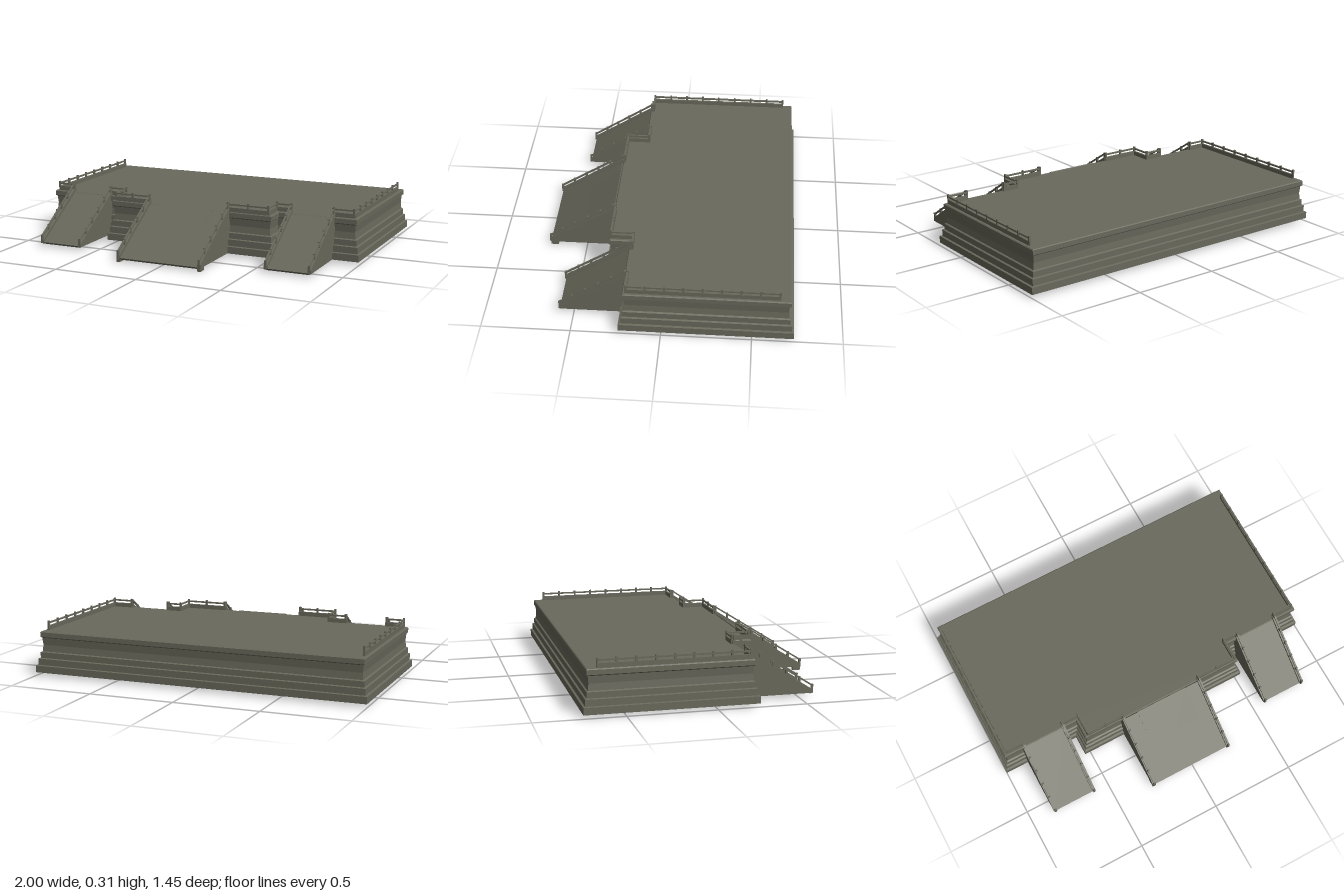
import * as THREE from 'three';

const stone = new THREE.MeshStandardMaterial({ color: 0x69695c, side: THREE.DoubleSide });
stone.name = 'weathered stone';

function add(parent, name, geometry) {
  const mesh = new THREE.Mesh(geometry, stone);
  mesh.name = name;
  parent.add(mesh);
  return mesh;
}

function box(parent, name, w, h, d, x, y, z) {
  add(parent, name, new THREE.BoxGeometry(w, h, d)).position.set(x, y, z);
}

// Square bar running from a to b
function bar(parent, name, a, b, w, h) {
  const from = new THREE.Vector3(...a), to = new THREE.Vector3(...b);
  const mesh = add(parent, name, new THREE.BoxGeometry(w, h, from.distanceTo(to)));
  mesh.position.copy(from).add(to).multiplyScalar(0.5);
  mesh.lookAt(to);
}

// Terrace outline, moved inwards by d
function outline(d) {
  const half = [[1, -0.73 + d], [1, 0.235 - d], [0.535, 0.235 - d], [0.535, 0.355 - d]];
  const left = half.map(([x, z]) => [-(x - d), z]);
  const right = half.map(([x, z]) => [x - d, z]).reverse();
  return [...left, ...right];
}

// Sheet covering the outline at height y
function sheet(d, y) {
  const shape = new THREE.Shape(outline(d).map(([x, z]) => new THREE.Vector2(x, -z)));
  return new THREE.ShapeGeometry(shape).rotateX(-Math.PI / 2).translate(0, y, 0);
}

// Hollow moulded walls: a profile of [inset, height] swept round the outline
function walls() {
  const profile = [
    [0.06, 0.24], [0.06, 0.02], [0, 0.02], [0, 0.06], [0.012, 0.063], [0.012, 0.1],
    [0.022, 0.104], [0.022, 0.137], [0.031, 0.142], [0.035, 0.18], [0.031, 0.222],
    [0.023, 0.228], [0.023, 0.255], [0.028, 0.26],
  ];
  const pos = [];
  for (let k = 0; k < profile.length - 1; k++) {
    const [d0, y0] = profile[k], [d1, y1] = profile[k + 1];
    const lo = outline(d0), hi = outline(d1);
    lo.forEach((p, i) => {
      const j = (i + 1) % lo.length;
      const a = [p[0], y0, p[1]], b = [lo[j][0], y0, lo[j][1]];
      const c = [hi[j][0], y1, hi[j][1]], e = [hi[i][0], y1, hi[i][1]];
      pos.push(...a, ...b, ...c, ...a, ...c, ...e);
    });
  }
  const g = new THREE.BufferGeometry();
  g.setAttribute('position', new THREE.Float32BufferAttribute(pos, 3));
  g.computeVertexNormals();
  return g;
}

// Low kerb, handrail and posts along a path of [x, z] points on the deck
function balustrade(parent, path) {
  const group = new THREE.Group();
  group.name = 'balustrade';
  parent.add(group);
  for (let i = 0; i < path.length - 1; i++) {
    const [x0, z0] = path[i], [x1, z1] = path[i + 1];
    const n = Math.max(1, Math.round(Math.hypot(x1 - x0, z1 - z0) / 0.105));
    bar(group, 'kerb', [x0, 0.272, z0], [x1, 0.272, z1], 0.012, 0.026);
    bar(group, 'handrail', [x0, 0.302, z0], [x1, 0.302, z1], 0.01, 0.009);
    for (let k = 0; k <= n; k++) {
      if (k === 0 && i > 0) continue;
      const t = k / n;
      box(group, 'post', 0.011, 0.055, 0.011, x0 + (x1 - x0) * t, 0.287, z0 + (z1 - z0) * t);
    }
  }
}

// Sloping ramp between x0 and x1, from the deck edge zTop to the foot zFoot
function ramp(parent, name, x0, x1, zTop, zFoot) {
  const group = new THREE.Group();
  group.name = name;
  parent.add(group);
  const mid = (x0 + x1) / 2;
  bar(group, 'rampSurface', [mid, 0.018, zFoot - 0.005], [mid, 0.252, zTop], x1 - x0, 0.012);
  const thick = 0.02;
  const side = new THREE.Shape([
    [zTop - 0.06, 0.02], [zFoot, 0.02], [zFoot, 0.04], [zTop, 0.28],
    [zTop - 0.01, 0.28], [zTop - 0.01, 0.24], [zTop - 0.06, 0.24],
  ].map(p => new THREE.Vector2(...p)));
  for (const x of [x0, x1]) {
    const panel = new THREE.ExtrudeGeometry(side, { depth: thick, bevelEnabled: false });
    add(group, 'sidePanel', panel.rotateY(-Math.PI / 2).translate(x + thick / 2, 0, 0));
    bar(group, 'slopingHandrail', [x, 0.062, zFoot], [x, 0.304, zTop], 0.01, 0.009);
    for (let k = 0; k <= 5; k++) {
      const t = k / 5;
      box(group, 'slopingPost', 0.012, 0.05, 0.012, x, 0.044 + 0.242 * t, zFoot + (zTop - zFoot) * t);
    }
  }
  return group;
}

export function createModel() {
  const model = new THREE.Group();
  model.name = 'terrace';

  add(model, 'mouldedWalls', walls());
  add(model, 'deck', sheet(0.028, 0.26));
  add(model, 'ceiling', sheet(0.06, 0.24));

  // Three ramps
  ramp(model, 'leftRamp', 0.58, 0.835, 0.205, 0.58);
  ramp(model, 'rightRamp', -0.85, -0.595, 0.205, 0.58);
  const centre = ramp(model, 'centreRamp', -0.262, 0.242, 0.335, 0.718);
  bar(centre, 'rampRunner', [-0.01, 0.024, 0.703], [-0.01, 0.259, 0.335], 0.32, 0.006);
  for (const x of [-0.262, 0.242]) box(centre, 'rampFoot', 0.02, 0.02, 0.045, x, 0.01, 0.695);

  // Balustrades on the sides and around the projecting bay
  for (const [s, outer, inner, bay] of [[-1, 0.85, 0.595, 0.262], [1, 0.835, 0.58, 0.242]]) {
    balustrade(model, [[s * 0.955, -0.645], [s * 0.955, 0.192], [s * outer, 0.192]]);
    balustrade(model, [[s * inner, 0.192], [s * 0.49, 0.192], [s * 0.49, 0.322], [s * bay, 0.322]]);
  }
  return model;
}
